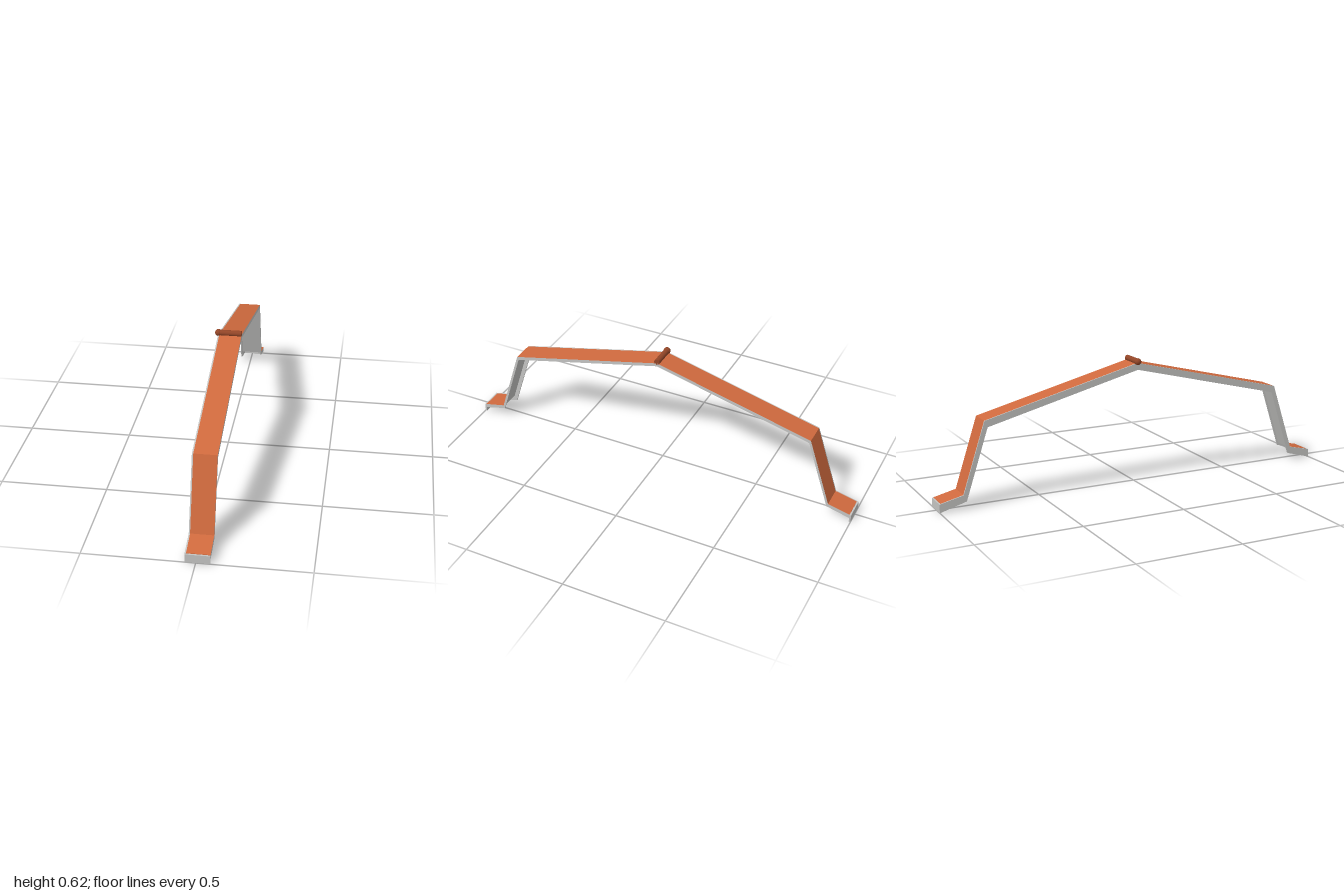
import * as THREE from 'three';

// Half profile from end to ridge: [z, y] outside and the matching inside corner
const OUTER = [[0.992, 0.042], [0.885, 0.067], [0.775, 0.401], [0, 0.593]];
const INNER = [[0.992, 0.002], [0.871, 0.036], [0.761, 0.37], [0, 0.56]];

function mat(name, color) {
  const m = new THREE.MeshStandardMaterial({ color });
  m.name = name;
  return m;
}

// Line at depth t (0 = outside, 1 = inside), mirrored over the ridge
function line(t) {
  const half = OUTER.map(([z, y], i) => [
    z + (INNER[i][0] - z) * t,
    y + (INNER[i][1] - y) * t,
  ]);
  const other = half.slice(0, -1).reverse().map(([z, y]) => [-z, y]);
  return [...half, ...other];
}

// Bent strip between depths t0 and t1, spanning x0 to x1
function strip(name, x0, x1, t0, t1, material) {
  const pts = [...line(t0), ...line(t1).reverse()];
  const shape = new THREE.Shape(pts.map(([z, y]) => new THREE.Vector2(-z, y)));
  const geo = new THREE.ExtrudeGeometry(shape, { depth: x1 - x0, bevelEnabled: false });
  geo.rotateY(Math.PI / 2).translate(x0, 0, 0);
  const mesh = new THREE.Mesh(geo, material);
  mesh.name = name;
  return mesh;
}

export function createModel() {
  const group = new THREE.Group();
  group.name = 'ridgeSection';
  const clay = mat('terracotta', 0xd06a3e);
  const grey = mat('light grey', 0xc4c4c2);
  const rust = mat('dark rust', 0x934628);

  // Coloured skin with grey cut edges, backed by a grey sheet
  group.add(strip('roofSkin', -0.042, 0.063, 0, 0.05, [grey, clay]));
  group.add(strip('backingSheet', -0.042, 0.057, 0.05, 0.14, grey));

  // Deep flange on one side, shallow flange on the other
  group.add(strip('deepFlange', -0.048, -0.042, 0, 1, grey));
  group.add(strip('shallowFlange', 0.057, 0.063, 0.05, 0.5, grey));

  // Upright lips closing both ends
  for (const s of [1, -1]) {
    const lip = new THREE.Mesh(new THREE.BoxGeometry(0.111, 0.04, 0.008), grey);
    lip.name = s > 0 ? 'frontLip' : 'backLip';
    lip.position.set(0.0075, 0.02, s * 0.996);
    group.add(lip);
  }

  // Ridge roll with a ball at its end
  const roll = new THREE.Mesh(new THREE.CylinderGeometry(0.014, 0.014, 0.11, 24), rust);
  roll.name = 'ridgeRoll';
  roll.rotation.z = Math.PI / 2;
  roll.position.set(0.008, 0.599, 0);
  const ball = new THREE.Mesh(new THREE.SphereGeometry(0.0165, 24, 16), rust);
  ball.name = 'ridgeBall';
  ball.position.set(-0.0465, 0.599, 0);
  group.add(roll, ball);

  return group;
}
